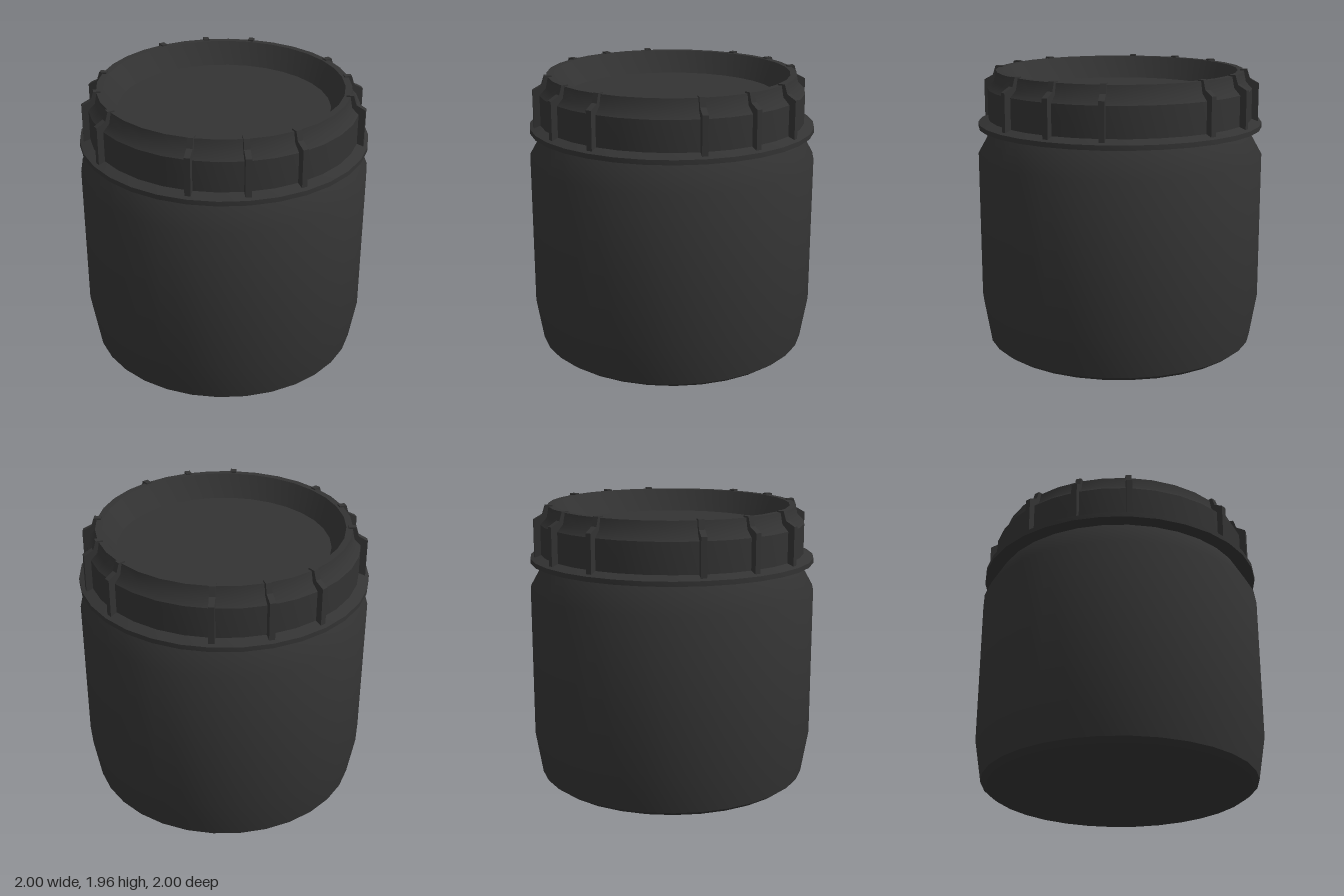
import * as THREE from 'three';
import { toCreasedNormals } from 'three/addons/utils/BufferGeometryUtils.js';

const SIDES = 32;

export function createModel() {
  const model = new THREE.Group();
  model.name = 'jar';
  const plastic = new THREE.MeshStandardMaterial({ color: 0x333333 });

  const addPart = (parent, name, geometry) => {
    const mesh = new THREE.Mesh(geometry, plastic);
    mesh.name = name;
    parent.add(mesh);
    return mesh;
  };

  // Turned part from a list of [radius, height], outer side going upwards
  const turned = (profile, crease) => toCreasedNormals(
    new THREE.LatheGeometry(profile.map(([r, y]) => new THREE.Vector2(r, y)), SIDES), crease);

  // Body: flat base, bevelled foot, straight wall, sloped shoulder
  addPart(model, 'body', turned([
    [0, 0], [0.91, 0], [0.95, 0.03], [1, 0.33], [1, 1.37], [0.89, 1.565],
  ], 0.6));

  // Lid: flange, stepped wall, rim and recessed top
  const lid = new THREE.Group();
  lid.name = 'lid';
  model.add(lid);
  addPart(lid, 'lidShell', turned([
    [0.86, 1.56], [0.995, 1.56], [0.995, 1.593], [0.925, 1.62],
    [0.925, 1.83], [0.88, 1.877], [0.865, 1.953],
    [0.82, 1.953], [0.73, 1.8], [0, 1.8],
  ], 0.6));

  // Grip ribs: three in each quarter, following the stepped wall
  const ribShape = new THREE.Shape([
    [0.84, 1.6], [0.968, 1.6], [0.968, 1.865], [0.905, 1.9],
    [0.885, 1.963], [0.835, 1.963],
  ].map(([r, y]) => new THREE.Vector2(r, y)));
  const width = 0.04;
  const ribGeometry = new THREE.ExtrudeGeometry(ribShape, { depth: width, bevelEnabled: false });
  ribGeometry.translate(0, 0, -width / 2);
  for (let quarter = 0; quarter < 4; quarter++) {
    for (let i = 1; i <= 3; i++) {
      const rib = addPart(lid, 'gripRib', ribGeometry);
      rib.rotation.y = (quarter + i / 4) * Math.PI / 2;
    }
  }
  return model;
}
